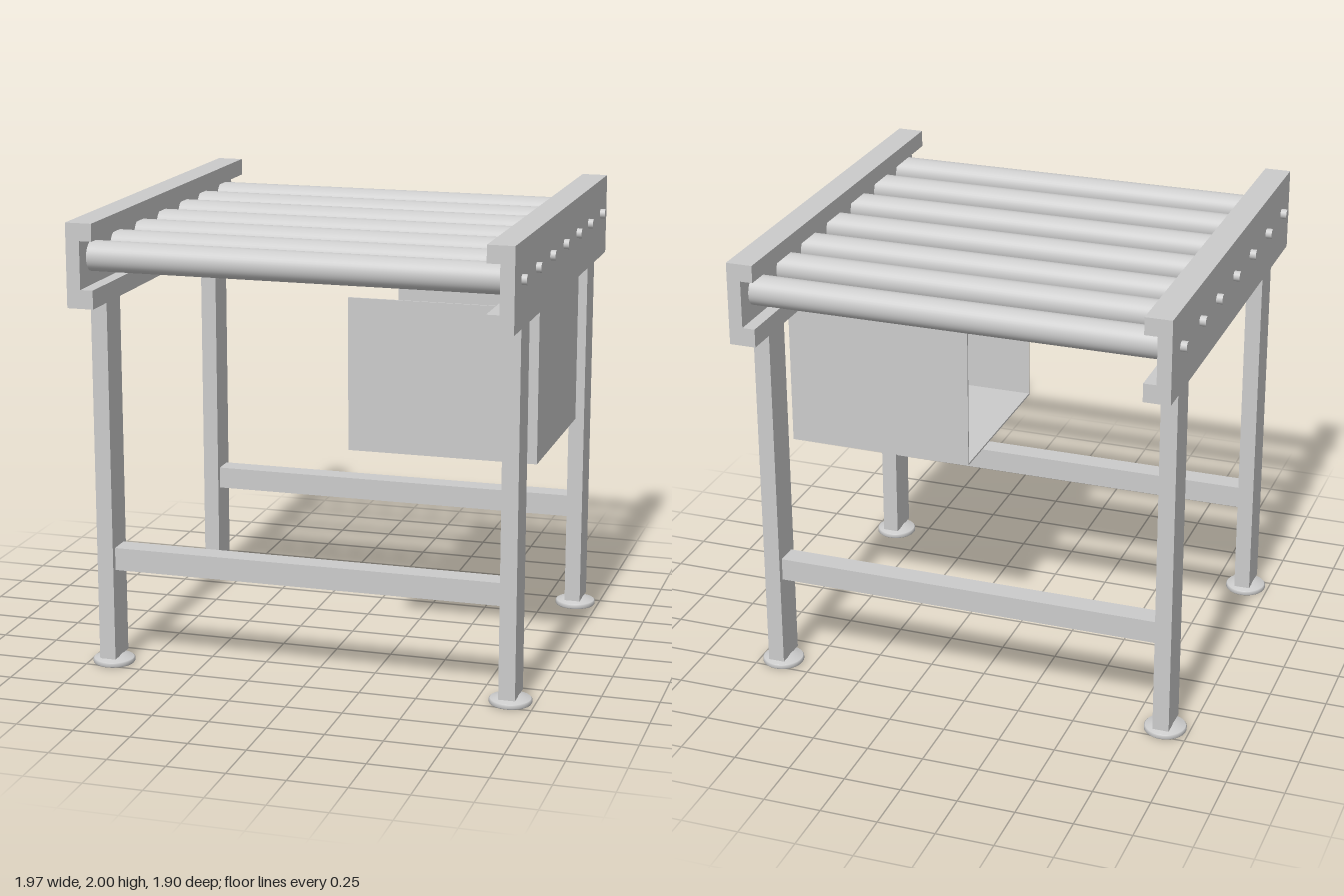
import * as THREE from 'three';

export function createModel() {
  const group = new THREE.Group();
  const mat = new THREE.MeshStandardMaterial({ color: 0xcccccc });
  const add = (name, geo, x, y, z) => {
    const mesh = new THREE.Mesh(geo, mat);
    mesh.name = name;
    mesh.position.set(x, y, z);
    group.add(mesh);
    return mesh;
  };
  // Box given by its minimum and maximum corners
  const box = (name, x0, x1, y0, y1, z0, z1) =>
    add(name, new THREE.BoxGeometry(x1 - x0, y1 - y0, z1 - z0),
      (x0 + x1) / 2, (y0 + y1) / 2, (z0 + z1) / 2);

  // Side rails: C-channels opening inwards
  const railLength = 1.9;
  for (const [name, outer, s] of [['leftRail', 0.945, -1], ['rightRail', -0.955, 1]]) {
    const web = outer + s * 0.06, lip = outer + s * 0.115;
    const profile = new THREE.Shape([
      [outer, 1.64], [lip, 1.64], [lip, 1.72], [web, 1.72],
      [web, 1.925], [lip, 1.925], [lip, 2], [outer, 2],
    ].map(([x, y]) => new THREE.Vector2(x, y)));
    add(name, new THREE.ExtrudeGeometry(profile, { depth: railLength, bevelEnabled: false }),
      0, 0, -railLength / 2);
  }

  // Rollers with axles poking through the rails
  const rollerGeo = new THREE.CylinderGeometry(0.065, 0.065, 1.78, 40).rotateZ(Math.PI / 2);
  const axleGeo = new THREE.CylinderGeometry(0.022, 0.022, 1.95, 20).rotateZ(Math.PI / 2);
  for (const z of [-0.815, -0.535, -0.28, -0.005, 0.268, 0.545, 0.815]) {
    add('roller', rollerGeo, -0.005, 1.842, z);
    add('axle', axleGeo, -0.007, 1.842, z);
  }

  // Legs with round levelling feet
  const footGeo = new THREE.LatheGeometry([
    [0, 0], [0.088, 0], [0.088, 0], [0.092, 0.005], [0.092, 0.018], [0.088, 0.022],
    [0.088, 0.022], [0.07, 0.028], [0.07, 0.028], [0.035, 0.04], [0, 0.04],
  ].map(([r, y]) => new THREE.Vector2(r, y)), 40);
  for (const x of [-0.895, 0.895]) {
    for (const z of [-0.68, 0.68]) {
      box('leg', x - 0.036, x + 0.036, 0.036, 1.64, z - 0.076, z + 0.076);
      add('foot', footGeo, x, 0, z);
    }
  }

  // Cross bars between the legs
  for (const z of [-0.68, 0.68]) {
    box('crossBar', -0.86, 0.86, 0.44, 0.54, z - 0.05, z + 0.05);
  }

  // Sheet-metal housing, open at the top and towards the inside
  const t = 0.008;
  box('housingFloor', 0.1, 0.93, 0.97, 0.97 + t, -0.405, 0.405);
  box('housingSide', 0.93 - t, 0.93, 0.97 + t, 1.64, -0.405, 0.405);
  box('housingFront', 0.1, 0.93 - t, 0.97 + t, 1.64, 0.405 - t, 0.405);
  box('housingBack', 0.1, 0.93 - t, 0.97 + t, 1.64, -0.405, -0.405 + t);

  return group;
}
